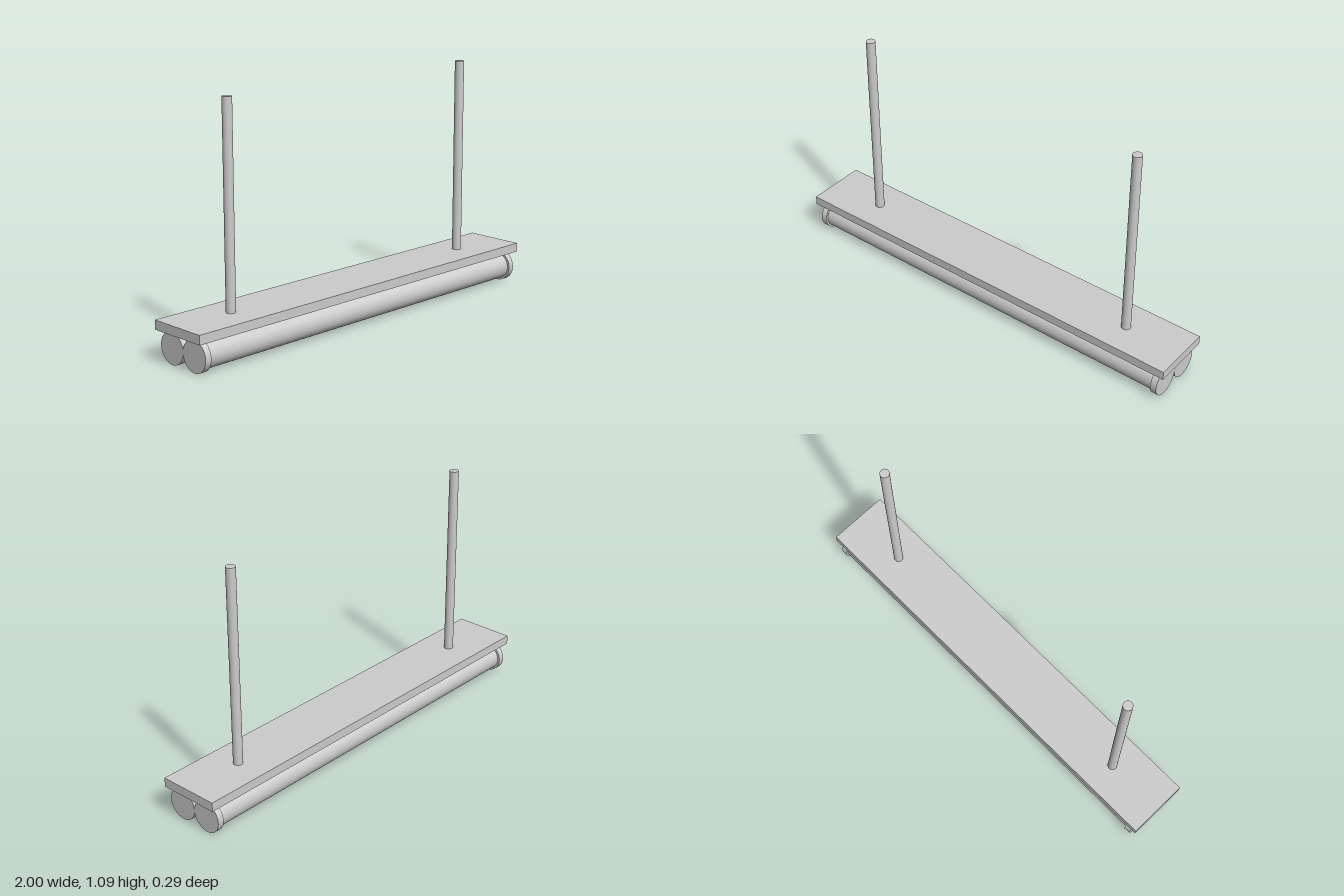
import * as THREE from 'three';

export function createModel() {
  const group = new THREE.Group();
  const material = new THREE.MeshStandardMaterial({ color: 0xcccccc });

  const add = (name, geometry, x, y, z) => {
    const mesh = new THREE.Mesh(geometry, material);
    mesh.name = name;
    mesh.position.set(x, y, z);
    group.add(mesh);
  };
  const barAlongX = (radius, length) =>
    new THREE.CylinderGeometry(radius, radius, length, 64).rotateZ(Math.PI / 2);

  const plateBottom = 0.144, plateTop = 0.186, rodTop = 1.096;
  const capRadius = 0.0715, tubeRadius = 0.0615;

  // Flat mounting plate
  add('mountingPlate', new THREE.BoxGeometry(2, plateTop - plateBottom, 0.286),
    0, (plateTop + plateBottom) / 2, 0);

  // Two lamp tubes side by side, each with a wider cap at both ends
  for (const side of [-1, 1]) {
    const z = side * capRadius;
    const row = side > 0 ? 'front' : 'back';
    add(row + 'LampTube', barAlongX(tubeRadius, 1.9), 0, 0.0725, z);
    for (const end of [-1, 1]) {
      add(row + (end > 0 ? 'Left' : 'Right') + 'EndCap', barAlongX(capRadius, 0.03),
        end * 0.956, 0.0725, z);
    }
  }

  // Hanging rods
  for (const end of [-1, 1]) {
    add(end > 0 ? 'leftHangingRod' : 'rightHangingRod',
      new THREE.CylinderGeometry(0.0215, 0.0215, rodTop - plateTop, 48),
      end * 0.713, (rodTop + plateTop) / 2, 0);
  }

  return group;
}
